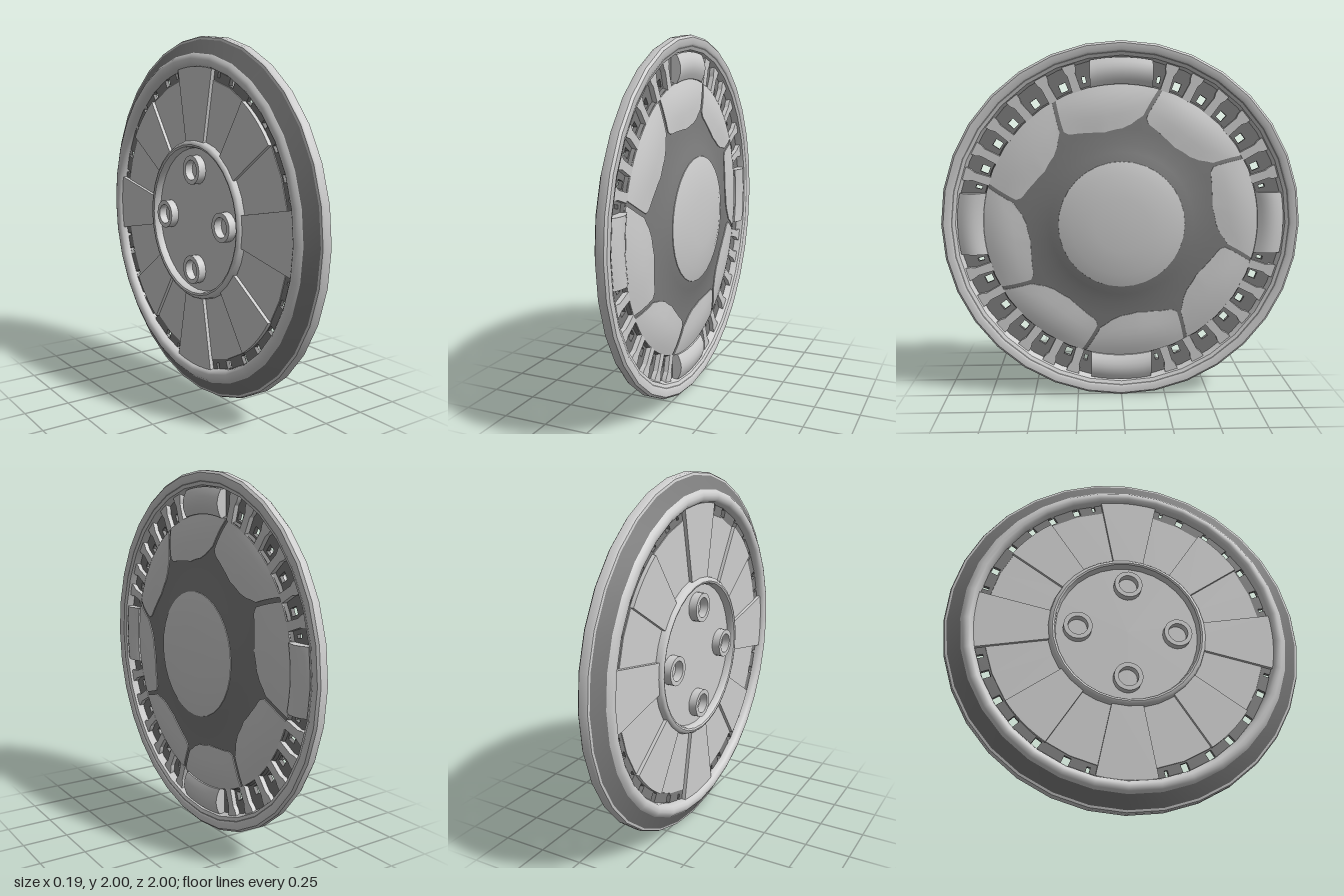
import * as THREE from 'three';
import { toCreasedNormals } from 'three/addons/utils/BufferGeometryUtils.js';

const RAD = Math.PI / 180;
const SEGMENTS = 32;

export function createModel() {
  const light = new THREE.MeshStandardMaterial({ color: 0xcecece });
  light.name = 'light silver';
  const dark = new THREE.MeshStandardMaterial({ color: 0x7c7c7c });
  dark.name = 'dark silver';

  const model = new THREE.Group();
  model.name = 'wheelCover';
  const body = new THREE.Group();
  body.name = 'body';
  body.position.y = 1;
  model.add(body);

  function add(name, geometry, material, crease = 0.6) {
    const mesh = new THREE.Mesh(toCreasedNormals(geometry, crease), material);
    mesh.name = name;
    body.add(mesh);
    return mesh;
  }

  // Turned part: profile of [radius, x], spun about the x axis
  function turned(name, profile, material) {
    const g = new THREE.LatheGeometry(profile.map(([r, h]) => new THREE.Vector2(r, h)), SEGMENTS);
    g.rotateZ(-Math.PI / 2);
    return add(name, g, material);
  }

  // Polar point on the face: angle in degrees from the top, clockwise seen from +x
  const polar = (a, r) => new THREE.Vector2(r * Math.sin(a * RAD), r * Math.cos(a * RAD));

  // Flat shape given in the face plane, extruded along x
  function plate(name, shape, x0, x1, material) {
    const g = new THREE.ExtrudeGeometry(shape, { depth: x1 - x0, bevelEnabled: false, curveSegments: 32 });
    g.translate(0, 0, x0);
    g.rotateY(Math.PI / 2);
    return add(name, g, material, 0.4);
  }

  // Curved patch with a skirt: fn(s, t) gives [angle, radius, x, skirt x]
  function patch(name, fn, ns, nt, material) {
    const pos = [], index = [], cols = ns + 3;
    for (let j = -1; j <= nt + 1; j++) {
      for (let i = -1; i <= ns + 1; i++) {
        const s = Math.min(Math.max(i / ns, 0), 1), t = Math.min(Math.max(j / nt, 0), 1);
        const [a, r, x, floor] = fn(s, t);
        const border = i < 0 || j < 0 || i > ns || j > nt;
        const p = polar(a, r);
        pos.push(border ? floor : x, p.y, -p.x);
      }
    }
    for (let j = 0; j < nt + 2; j++) {
      for (let i = 0; i < ns + 2; i++) {
        const a = j * cols + i;
        index.push(a, a + 1, a + cols + 1, a, a + cols + 1, a + cols);
      }
    }
    const g = new THREE.BufferGeometry();
    g.setAttribute('position', new THREE.Float32BufferAttribute(pos, 3));
    g.setIndex(index);
    return add(name, g, material);
  }

  // Linear interpolation through [key, value] pairs with rising keys
  function lerpTable(table, k) {
    for (let i = 1; i < table.length; i++) {
      const [k0, v0] = table[i - 1], [k1, v1] = table[i];
      if (k <= k1) return v0 + (v1 - v0) * Math.max(0, (k - k0) / (k1 - k0));
    }
    return table[table.length - 1][1];
  }

  // Outer rim, thin groove line, inner bead and rear flange
  turned('outerRim', [[0.982, -0.036], [0.994, -0.033], [1, -0.022], [1, 0.014], [0.988, 0.025],
    [0.955, 0.025], [0.946, 0.02]], light);
  turned('rimGroove', [[0.946, 0.02], [0.938, 0.017]], dark);
  turned('innerBead', [[0.938, 0.017], [0.922, 0.01], [0.908, -0.032]], light);
  turned('rearFlange', [[0.91, -0.076], [0.982, -0.036]], dark);
  turned('rearRing', [[0.835, -0.04], [0.838, -0.066], [0.846, -0.084], [0.86, -0.095], [0.88, -0.097],
    [0.897, -0.09], [0.91, -0.076]], light);

  // Dished hub and centre cap
  const hubProfile = [[0.33, 0.058], [0.35, 0.055], [0.4, 0.042], [0.45, 0.031], [0.53, 0.02],
    [0.65, 0.011], [0.72, 0.001], [0.772, -0.012], [0.78, -0.032]];
  turned('hubDish', hubProfile.slice().reverse(), dark);
  turned('centreCap', [[0.352, 0.05], [0.35, 0.058], [0.28, 0.076], [0.15, 0.088], [0.06, 0.0915], [0, 0.092]], light);

  // Eight swept face panels
  const innerEdge = [[0, 0.6], [0.06, 0.57], [0.32, 0.535], [0.55, 0.515], [0.8, 0.53], [0.9, 0.555], [1, 0.61]];
  for (let k = 0; k < 8; k++) {
    const start = -28.7 + 45 * k;
    patch('facePanel', (s, t) => {
      const r = THREE.MathUtils.lerp(lerpTable(innerEdge, s), 0.768, t);
      const sweep = -4.5 * (0.768 - r) / 0.18;
      const gap = 0.65 / r;
      const a = start + sweep + gap + s * (45 - 2 * gap);
      const x = lerpTable(hubProfile, r);
      const lift = 0.005 + 0.008 * Math.sin(Math.PI * t) * Math.sin(Math.PI * s);
      return [a, r, x + lift, x - 0.008];
    }, 20, 6, light);
  }

  // Outline across a radial line: list of [radius, half width], mirrored
  function radialOutline(angle, sides) {
    const d = polar(angle, 1), n = new THREE.Vector2(d.y, -d.x);
    const at = (r, w) => d.clone().multiplyScalar(r).addScaledVector(n, w);
    return [...sides.map(([r, w]) => at(r, w)), ...sides.slice().reverse().map(([r, w]) => at(r, -w))];
  }

  // Vent ring with slots, light spokes and four pads
  const ring = new THREE.Shape().absarc(0, 0, 0.92, 0, Math.PI * 2, false);
  ring.holes.push(new THREE.Path().absarc(0, 0, 0.76, 0, Math.PI * 2, true));
  const slotAngles = [14.5, 22, 33, 43, 54.5, 67, 75.5];
  const spokeAngles = [18, 27.5, 38, 49, 61, 71.5];
  for (let q = 0; q < 4; q++) {
    for (const a of slotAngles) {
      const narrow = a < 16 || a > 74;
      ring.holes.push(new THREE.Path(radialOutline(a + 90 * q,
        narrow ? [[0.8, 0.009], [0.834, 0.009]] : [[0.79, 0.02], [0.834, 0.02]])));
    }
    for (const a of spokeAngles) {
      plate('ventSpoke', new THREE.Shape(radialOutline(a + 90 * q,
        [[0.765, 0.025], [0.86, 0.023], [0.885, 0.034], [0.92, 0.038]])), -0.032, -0.004, light);
    }
    patch('rimPad', (s, t) => {
      const r = THREE.MathUtils.lerp(0.768, 0.912, t);
      const a = Math.asin(0.172 * (2 * s - 1) / r) / RAD + 90 * q;
      return [a, r, -0.004 + 0.03 * Math.sin(Math.PI * (0.08 + 0.84 * t)), -0.032];
    }, 8, 6, light);
  }
  plate('ventRing', ring, -0.052, -0.03, dark);

  // Back: recessed hub, raised lip and flat web
  turned('rearWeb', [[0, -0.05], [0.4, -0.05], [0.404, -0.08], [0.41, -0.09], [0.42, -0.094], [0.432, -0.09],
    [0.44, -0.08], [0.445, -0.055], [0.78, -0.055], [0.785, -0.045]], light);

  // Raised sectors on the back, leaving lower ones between them
  function sector(a0, a1, r0, r1) {
    const shape = new THREE.Shape();
    shape.absarc(0, 0, r1, (90 - a1) * RAD, (90 - a0) * RAD, false);
    shape.absarc(0, 0, r0, (90 - a0) * RAD, (90 - a1) * RAD, true);
    return shape;
  }
  for (let q = 0; q < 4; q++) {
    plate('rearSector', sector(-11.5 + 90 * q, 11 + 90 * q, 0.43, 0.838), -0.074, -0.05, light);
    plate('rearSector', sector(35 + 90 * q, 57 + 90 * q, 0.43, 0.785), -0.074, -0.05, light);
  }

  // Four fixing sockets
  for (let q = 0; q < 4; q++) {
    const g = new THREE.LatheGeometry([[0.055, -0.048], [0.055, -0.096], [0.08, -0.096], [0.08, -0.048]]
      .reverse().map(([r, h]) => new THREE.Vector2(r, h)).reverse(), 20);
    g.rotateZ(-Math.PI / 2);
    const p = polar(90 * q, 0.28);
    g.translate(0, p.y, -p.x);
    add('fixingSocket', g, light);
  }

  return model;
}
